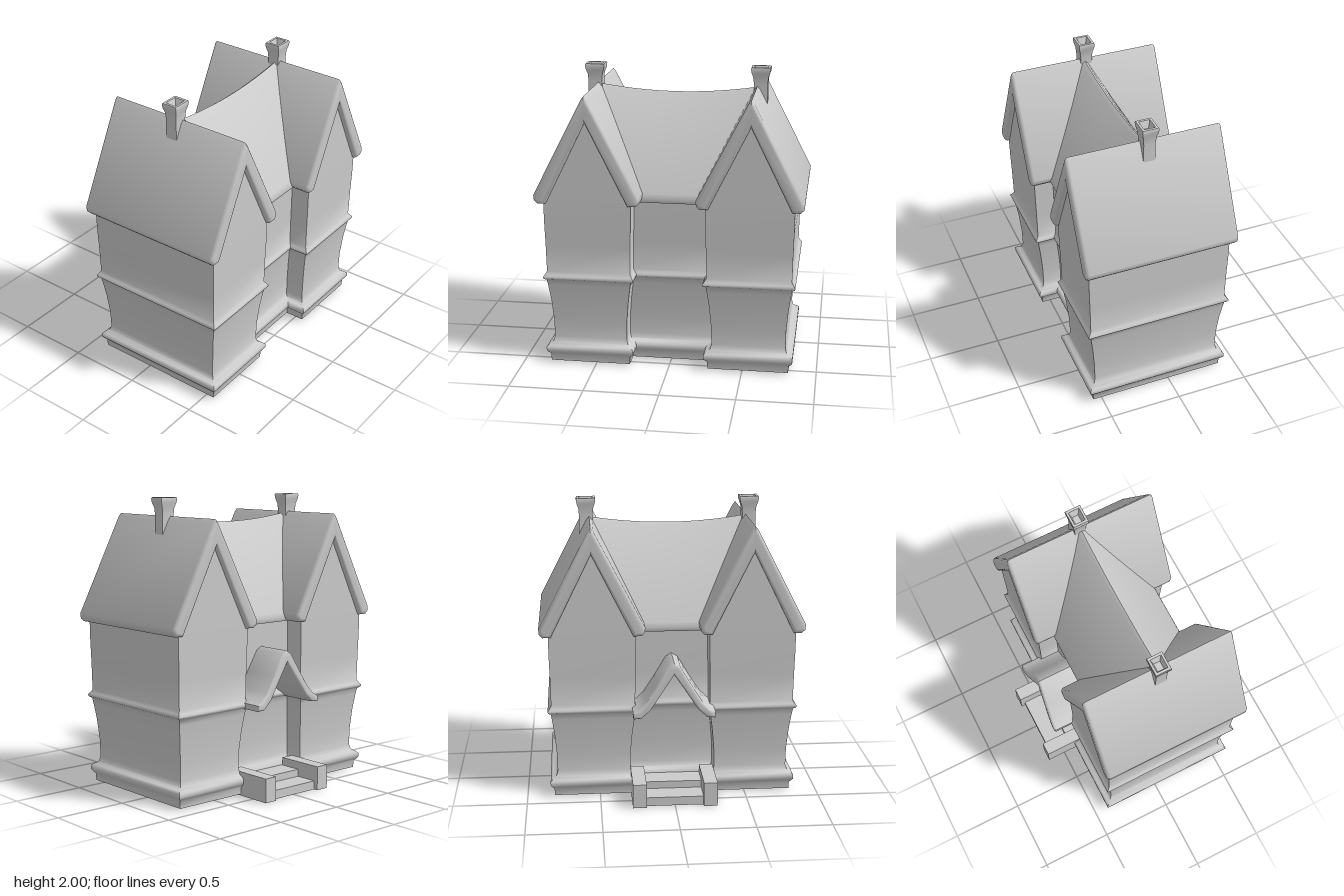
import * as THREE from 'three';
import { toCreasedNormals } from 'three/addons/utils/BufferGeometryUtils.js';

const CX = 0.09; // the house body sits slightly off centre, the porch fills the other side
const material = new THREE.MeshStandardMaterial({ color: 0xcccccc, side: THREE.DoubleSide });

function addMesh(parent, name, geometry, x = 0, y = 0, z = 0) {
  const mesh = new THREE.Mesh(geometry, material);
  mesh.name = name;
  mesh.position.set(x, y, z);
  parent.add(mesh);
  return mesh;
}

// Skin a stack of equal-length rings, counter-clockwise seen from above
function loft(rings, crease) {
  const n = rings[0].length;
  const index = [];
  for (let r = 0; r < rings.length - 1; r++) {
    for (let i = 0; i < n; i++) {
      const a = r * n + i, b = r * n + (i + 1) % n;
      index.push(a, b, b + n, a, b + n, a + n);
    }
  }
  const geometry = new THREE.BufferGeometry();
  geometry.setAttribute('position', new THREE.Float32BufferAttribute(rings.flat(2), 3));
  geometry.setIndex(index);
  return toCreasedNormals(geometry, crease);
}

// Closed symmetric shape from its right half, running from ridge to eave and back
function mirroredShape(half) {
  const left = half.slice(1, -1).reverse().map(([u, y]) => [-u, y]);
  const last = half[half.length - 1];
  return new THREE.Shape([...half.slice(0, -1), last, ...left].map(([u, y]) => new THREE.Vector2(u, y)));
}

// Extrude a shape centred on its axis, with optional rounded edges
function prism(shape, length, bevel = 0, steps = 1) {
  const geometry = new THREE.ExtrudeGeometry(shape, {
    depth: length - 2 * bevel, steps, bevelEnabled: bevel > 0,
    bevelSize: bevel, bevelThickness: bevel, bevelOffset: -bevel, bevelSegments: 4,
  });
  return geometry.translate(0, 0, -(length - 2 * bevel) / 2);
}

// H-shaped plan, grown outward by o
function planRing(y, o) {
  const hx = 0.49 + o, mx = 0.355 + o, zo = 0.83 + o, zi = 0.25 - o;
  const half = [[hx, zo], [hx, zi], [mx, zi], [mx, -zi], [hx, -zi], [hx, -zo]];
  return [...half, ...half.map(([x, z]) => [-x, -z])].map(([x, z]) => [x, y, z]);
}

const rectRing = (y, hx, hz) => [[hx, y, hz], [hx, y, -hz], [-hx, y, -hz], [-hx, y, hz]];

export function createModel() {
  const house = new THREE.Group();
  house.name = 'house';

  // Walls: plinth, flared ground floor, belt course, upper floor
  const wallProfile = [
    [0.01, -0.017], [0.06, -0.015], [0.075, 0], [0.09, 0.01], [0.115, 0.01], [0.13, -0.005],
    [0.145, -0.03], [0.18, -0.04], [0.3, -0.038], [0.45, -0.025], [0.56, -0.01], [0.6, -0.003],
    [0.612, 0.014], [0.625, 0.018], [0.638, 0.008], [0.66, -0.006], [0.85, -0.003], [1.0, 0.001], [1.17, 0.003],
  ];
  addMesh(house, 'walls', loft(wallProfile.map(([y, o]) => planRing(y, o)), 1.0), CX);

  // Middle roof with a sagging ridge between the two wings
  const middle = prism(mirroredShape([[0, 1.82], [0.02, 1.805], [0.38, 1.2], [0.395, 1.165], [0.385, 1.14], [0, 1.14]]), 1.08, 0, 20);
  const p = middle.attributes.position;
  for (let i = 0; i < p.count; i++) {
    const lift = 0.045 * (p.getZ(i) / 0.54) ** 2;
    p.setY(i, p.getY(i) + lift * Math.max(0, (p.getY(i) - 1.16) / 0.66));
  }
  addMesh(house, 'middleRoof', toCreasedNormals(middle, 0.8), CX);

  // Two wings, each with a steep roof, gable infill and chimney
  const roofShape = mirroredShape([[0, 1.875], [0.02, 1.85], [0.355, 1.2], [0.352, 1.165], [0.33, 1.143], [0.275, 1.143], [0, 1.70]]);
  const roofGeometry = toCreasedNormals(prism(roofShape, 1.06, 0.025).rotateY(Math.PI / 2), 0.8);
  const gableGeometry = prism(mirroredShape([[0, 1.74], [0.293, 1.16], [0, 1.16]]), 0.986).rotateY(Math.PI / 2);
  const chimneyGeometry = loft([
    rectRing(1.7, 0.042, 0.048), rectRing(1.88, 0.04, 0.046), rectRing(1.93, 0.044, 0.05),
    rectRing(1.965, 0.053, 0.062), rectRing(1.99, 0.056, 0.066), rectRing(2.0, 0.053, 0.063),
    rectRing(2.0, 0.038, 0.046), rectRing(1.95, 0.022, 0.028), rectRing(1.95, 0, 0),
  ], 0.8);
  for (const side of [1, -1]) {
    const wing = new THREE.Group();
    wing.name = side > 0 ? 'frontWing' : 'backWing';
    wing.position.z = side * 0.54;
    addMesh(wing, 'wingRoof', roofGeometry, CX);
    addMesh(wing, 'gable', gableGeometry, CX);
    addMesh(wing, 'chimney', chimneyGeometry, 0.08, 0, side * 0.022);
    house.add(wing);
  }

  // Flared canopy over the side door
  const canopyShape = mirroredShape([
    [0, 0.98], [0.04, 0.955], [0.12, 0.82], [0.19, 0.71], [0.24, 0.66], [0.277, 0.64],
    [0.275, 0.6], [0.22, 0.605], [0.16, 0.66], [0.08, 0.78], [0, 0.9],
  ]);
  const canopy = prism(canopyShape, 0.31, 0.015).rotateY(Math.PI / 2);
  const c = canopy.attributes.position;
  for (let i = 0; i < c.count; i++) { // the front edge leans back towards the ridge
    if (c.getX(i) < 0) c.setX(i, c.getX(i) + 0.06 * Math.max(0, c.getY(i) - 0.62));
  }
  addMesh(house, 'porchCanopy', toCreasedNormals(canopy, 0.8), -0.395);

  // Porch: low floor, upper step and two cheek blocks
  addMesh(house, 'porchFloor', new THREE.BoxGeometry(0.33, 0.06, 0.4), -0.435, 0.03, 0);
  addMesh(house, 'porchStep', new THREE.BoxGeometry(0.18, 0.11, 0.4), -0.35, 0.055, 0);
  for (const side of [1, -1]) {
    addMesh(house, 'porchCheek', new THREE.BoxGeometry(0.35, 0.165, 0.093), -0.455, 0.0825, side * 0.24);
  }
  return house;
}
